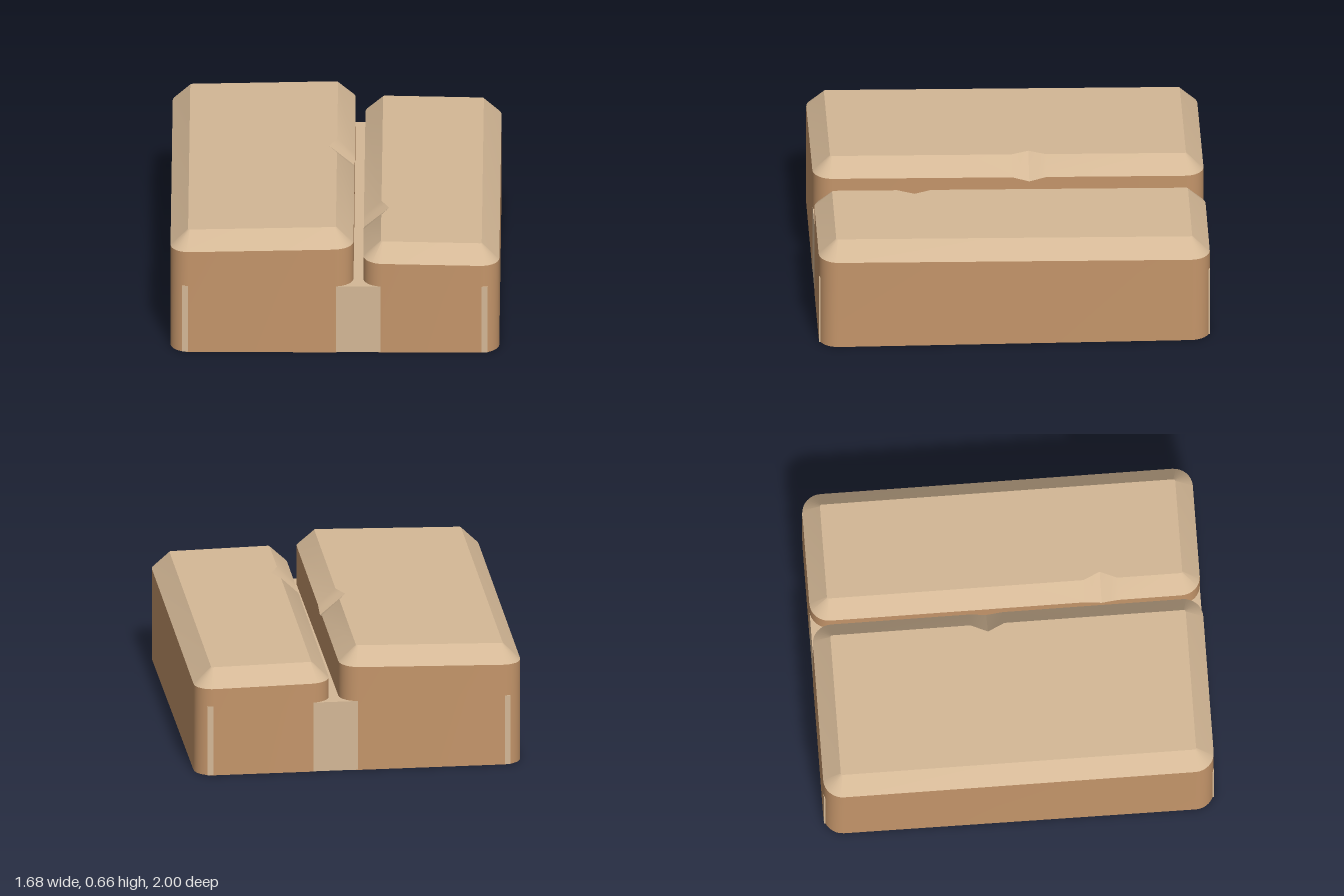
import * as THREE from 'three';
import { toCreasedNormals } from 'three/addons/utils/BufferGeometryUtils.js';

const wall = new THREE.MeshStandardMaterial({ color: 0xc4956a });
wall.name = 'brown wall';
const cap = new THREE.MeshStandardMaterial({ color: 0xd4b896 });
cap.name = 'pale tan';

const RADIUS = 0.1, INSET = 0.09, RISE = 0.087, STEPS = 8;

// Rounded rectangle outline, with a V-shaped chip on one long edge
function outline(x0, x1, chip) {
  const pts = [];
  const corners = [[x1 - RADIUS, -1 + RADIUS], [x1 - RADIUS, 1 - RADIUS], [x0 + RADIUS, 1 - RADIUS], [x0 + RADIUS, -1 + RADIUS]];
  corners.forEach(([cx, cz], i) => {
    for (let s = 0; s <= STEPS; s++) {
      const a = (i - 1 + s / STEPS) * Math.PI / 2;
      const nx = Math.cos(a), nz = Math.sin(a);
      pts.push({ x: cx + RADIUS * nx, z: cz + RADIUS * nz, nx, nz, dent: 0 });
    }
    const side = i === 0 ? 1 : i === 2 ? -1 : 0;
    if (side === chip.side) {
      for (const t of [-1, -0.5, 0, 0.5, 1]) {
        pts.push({ x: side > 0 ? x1 : x0, z: chip.z + side * t * 0.087, nx: side, nz: 0, dent: 1 - Math.abs(t) });
      }
    }
  });
  return pts;
}

function surface(positions, index) {
  const g = new THREE.BufferGeometry();
  g.setAttribute('position', new THREE.Float32BufferAttribute(positions, 3));
  g.setIndex(index);
  return toCreasedNormals(g, 0.4);
}

// Strip between two rings
function band(low, high) {
  const n = low.length, index = [];
  for (let i = 0; i < n; i++) {
    const j = (i + 1) % n;
    index.push(i, n + i, j, j, n + i, n + j);
  }
  return surface([...low, ...high].flat(), index);
}

// Fan closing a ring
function lid(ring, centre, up) {
  const n = ring.length, index = [];
  for (let i = 0; i < n; i++) {
    const j = (i + 1) % n;
    index.push(n, up ? j : i, up ? i : j);
  }
  return surface([...ring, centre].flat(), index);
}

function addMesh(group, name, geometry, material) {
  const m = new THREE.Mesh(geometry, material);
  m.name = name;
  group.add(m);
}

// Slab with rounded corners and a sloping, chamfered top
function block(name, x0, x1, height, slopeX, slopeZ, chip) {
  const group = new THREE.Group();
  group.name = name;
  const cx = (x0 + x1) / 2;
  const y = (x, z) => height + slopeX * (x - cx) + slopeZ * z;
  const pts = outline(x0, x1, chip);
  const base = pts.map(p => [p.x, 0, p.z]);
  const rim = pts.map(p => [p.x, y(p.x, p.z) - 0.025 * p.dent, p.z]);
  const top = pts.map(p => {
    const d = INSET + 0.04 * p.dent;
    const x = p.x - p.nx * d, z = p.z - p.nz * d;
    return [x, y(x, z) + RISE, z];
  });
  addMesh(group, 'walls', band(base, rim), wall);
  addMesh(group, 'chamfer', band(rim, top), cap);
  addMesh(group, 'topFace', lid(top, [cx, y(cx, 0) + RISE, 0], true), cap);
  addMesh(group, 'underside', lid(base, [cx, 0, 0], false), cap);
  return group;
}

export function createModel() {
  const model = new THREE.Group();
  model.name = 'splitSlab';
  model.add(block('wideBlock', -0.84, 0.095, 0.5575, 0.022, 0.0125, { side: 1, z: -0.105 }));
  model.add(block('narrowBlock', 0.145, 0.84, 0.481, -0.019, 0.0125, { side: -1, z: 0.49 }));

  // Low filler joining the blocks, seen in the groove and at the rounded corners
  const filler = new THREE.Mesh(new THREE.BoxGeometry(1.56, 0.37, 1.998), cap);
  filler.name = 'grooveFiller';
  filler.position.y = 0.186;
  model.add(filler);
  return model;
}
